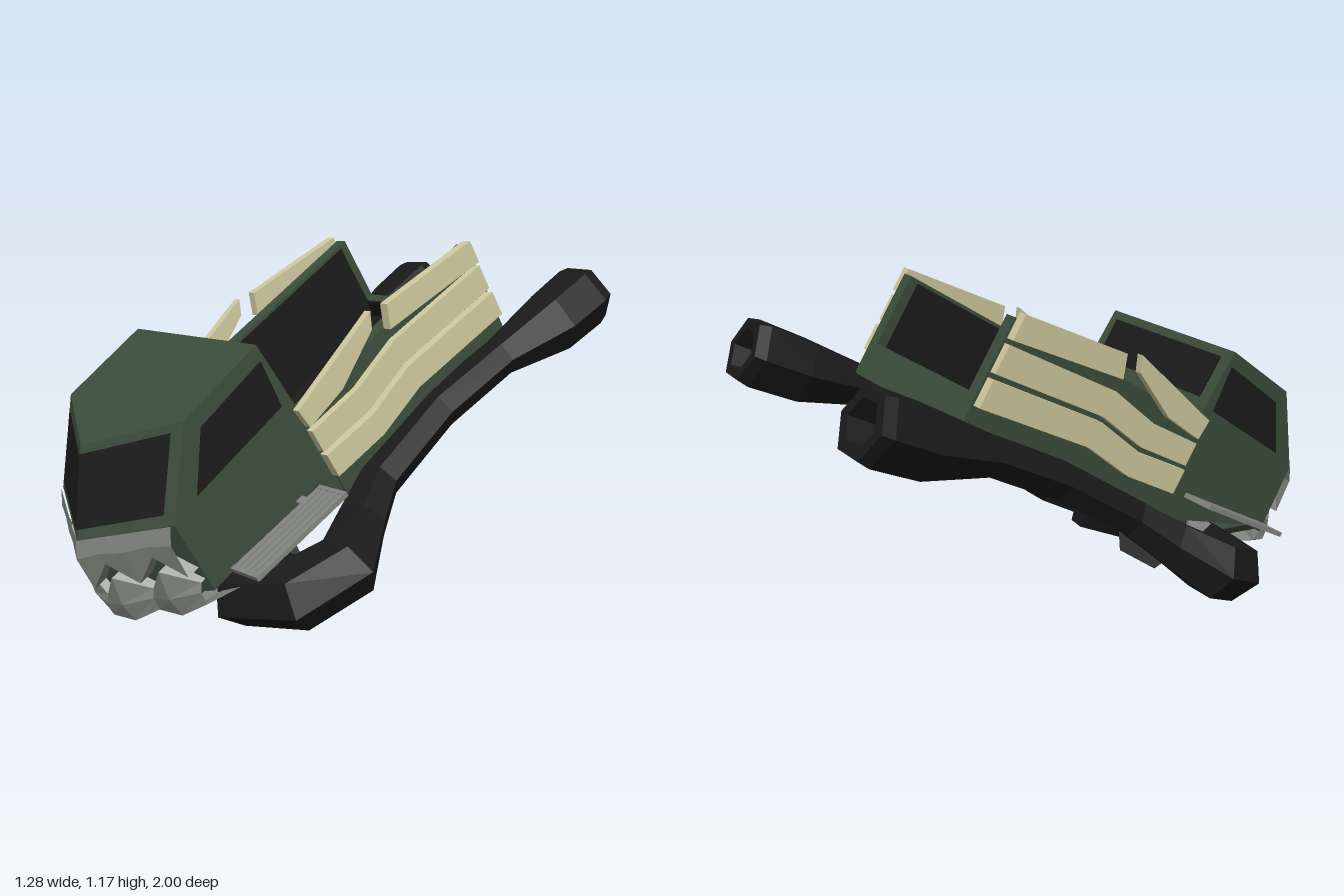
import * as THREE from 'three';

const mat = (name, color, side = THREE.FrontSide) => {
  const m = new THREE.MeshStandardMaterial({ color, flatShading: true, side });
  m.name = name;
  return m;
};
const V = (x, y, z) => new THREE.Vector3(x, y, z);

// Skin rows of points; rows advance along the part, closed rows wrap round
function loft(rows, closed = true) {
  const pos = [], n = rows[0].length;
  for (let i = 0; i < rows.length - 1; i++) {
    for (let j = 0; j < (closed ? n : n - 1); j++) {
      const k = (j + 1) % n;
      const a = rows[i][j], b = rows[i][k], c = rows[i + 1][k], d = rows[i + 1][j];
      for (const p of [a, b, c, a, c, d]) pos.push(p.x, p.y, p.z);
    }
  }
  const g = new THREE.BufferGeometry();
  g.setAttribute('position', new THREE.Float32BufferAttribute(pos, 3));
  g.computeVertexNormals();
  return g;
}

export function createModel() {
  const green = mat('bodyGreen', 0x3c4e3b);
  const dark = mat('darkGlass', 0x1b1b1b, THREE.DoubleSide);
  const black = mat('legBlack', 0x1a1a1a, THREE.DoubleSide);
  const cream = mat('plankCream', 0xd0ca9e);
  const grey = mat('metalGrey', 0x82867f, THREE.DoubleSide);

  const model = new THREE.Group();
  const truck = new THREE.Group();
  truck.name = 'truck';
  model.add(truck);

  const add = (name, geo, material) => {
    const m = new THREE.Mesh(geo, material);
    m.name = name;
    truck.add(m);
    return m;
  };
  const box = (name, x0, x1, y0, y1, z0, z1, m) =>
    add(name, new THREE.BoxGeometry(x1 - x0, y1 - y0, z1 - z0), m)
      .position.set((x0 + x1) / 2, (y0 + y1) / 2, (z0 + z1) / 2);
  // Side profile in (z, y), extruded across x
  const slab = (name, pts, x0, x1, m) => {
    const s = new THREE.Shape(pts.map(([z, y]) => new THREE.Vector2(-z, y)));
    const g = new THREE.ExtrudeGeometry(s, { depth: x1 - x0, bevelEnabled: false });
    add(name, g.rotateY(Math.PI / 2).translate(x0, 0, 0), m);
  };

  // Cab with a pointed nose and a roof rising to the rear
  const W = 0.33;
  const ring = (y, zp, zc, zr, w = W, yr = y) =>
    [V(0, y, zp), V(w, y, zc), V(w, yr, zr), V(-w, yr, zr), V(-w, y, zc)];
  const point = (y, z) => Array(5).fill(V(0, y, z));
  add('cab', loft([point(0.53, 0.3), ring(0.53, 0.695, 0.55, 0), ring(0.79, 0.702, 0.54, 0),
    ring(1.018, 0.52, 0.338, 0.012, W, 1.037), point(1.026, 0.22)]), green);
  add('frontApron', loft([point(0.41, 0.53), ring(0.41, 0.56, 0.55, 0.5, 0.1),
    ring(0.54, 0.69, 0.55, 0.5, 0.32), point(0.54, 0.53)]), green);
  slab('cabUnderside', [[0, 0.4], [0.04, 0.415], [0.5, 0.54], [0, 0.56]], -W, W, green);

  // Split windshield
  const { lerp } = THREE.MathUtils;
  const pane = (s, u, v) => V(s * W * u, lerp(0.79, 1.018, v),
    lerp(lerp(0.702, 0.52, v), lerp(0.54, 0.338, v), u) + 0.007);
  const row = (v) => [pane(-1, 0.9, v), pane(1, 0, v), pane(1, 0.9, v)];
  add('windshield', loft([row(0.13), row(0.92)], false), dark);

  // Side and rear windows
  for (const s of [-1, 1]) {
    slab('sideWindow', [[0.045, 0.825], [0.03, 0.987], [0.305, 0.965], [0.43, 0.81]],
      s > 0 ? W : -W - 0.006, s > 0 ? W + 0.006 : -W, dark);
  }
  box('rearWindow', -0.285, 0.285, 0.85, 1.005, 0.0, 0.008, dark);

  // Jagged grille jaws following the nose
  const at = (k, y, off) => {
    const t = Math.abs(k) / 4;
    return V(k * 0.081, y, 0.702 - 0.155 * t + off);
  };
  const jaw = (name, rows) => {
    const pts = rows.map(([even, odd, offEven, offOdd]) => {
      const r = [];
      for (let k = -4; k <= 4; k++) r.push(k % 2 ? at(k, odd, offOdd) : at(k, even, offEven));
      return r;
    });
    add(name, loft(pts, false), grey);
  };
  jaw('upperJaw', [[0.625, 0.712, -0.01, -0.01], [0.625, 0.712, 0.045, 0.035],
    [0.745, 0.75, 0.035, 0.03], [0.793, 0.793, 0.003, 0.003]]);
  jaw('lowerJaw', [[0.455, 0.445, -0.1, -0.1], [0.51, 0.49, 0.045, 0.062],
    [0.555, 0.565, 0.04, 0.068], [0.58, 0.66, 0.022, 0.045], [0.58, 0.66, -0.01, -0.01]]);

  // Cargo bed
  const R = -0.88, H = 0.77;
  box('bedFloor', -0.335, 0.335, 0.4, 0.44, R, 0, green);
  box('bedFloorLiner', -0.29, 0.29, 0.44, 0.447, R + 0.035, -0.005, dark);
  box('bedFrontLiner', -0.29, 0.29, 0.44, H, -0.012, -0.004, dark);
  box('tailLip', -0.335, 0.335, 0.44, 0.52, R, R + 0.035, green);
  box('tailLipLiner', -0.29, 0.29, 0.44, 0.515, R + 0.035, R + 0.041, dark);
  for (const s of [-1, 1]) {
    const span = (a, b) => (s > 0 ? [a, b] : [-b, -a]);
    box('bedSide', ...span(0.29, 0.335), 0.42, H, R, 0, green);
    box('bedSideLiner', ...span(0.283, 0.29), 0.44, H - 0.012, R + 0.035, -0.005, dark);

    // Crooked planks on the outside, the top one broken in two
    const planks = [
      [[0.018, 0.788], [-0.386, 0.863], [-0.36, 0.81], [-0.16, 0.73], [0.01, 0.715]],
      [[-0.452, 0.842], [-0.873, 0.79], [-0.873, 0.705], [-0.42, 0.765]],
      [[0.012, 0.7], [-0.21, 0.69], [-0.42, 0.722], [-0.872, 0.69], [-0.872, 0.595], [-0.42, 0.632], [-0.21, 0.602], [0.012, 0.616]],
      [[0.012, 0.602], [-0.21, 0.584], [-0.42, 0.615], [-0.872, 0.578], [-0.872, 0.485], [-0.42, 0.525], [-0.21, 0.498], [0.012, 0.513]],
    ];
    planks.forEach((p, i) => slab('plank', p, ...span(0.335, 0.362 + 0.006 * (i % 2)), cream));

    // Slatted side step with end bars, rising slightly to the front
    const sloped = (lo, hi, z0 = 0.08, z1 = 0.48) => {
      const y = (z) => 0.515 + 0.0625 * z;
      return [[z0, y(z0) + lo], [z1, y(z1) + lo], [z1, y(z1) + hi], [z0, y(z0) + hi]];
    };
    slab('stepPlate', sloped(0, 0.006), ...span(0.355, 0.482), grey);
    for (let i = 0; i < 5; i++) {
      const x = 0.355 + i * 0.0265;
      slab('stepSlat', sloped(0.006, 0.016), ...span(x, x + 0.021), grey);
    }
    for (const z of [0.08, 0.465]) slab('stepEnd', sloped(0.006, 0.017, z, z + 0.015), ...span(0.355, 0.482), grey);
    for (const z of [0.14, 0.4]) box('stepBracket', ...span(0.32, 0.36), 0.53, 0.54, z, z + 0.03, grey);

    // Leg curling out from under the cab and trailing back to a hollow foot
    const path = [
      [0.19, 0.37, 0.18, 0.145], [0.11, 0.385, 0.34, 0.12], [0.24, 0.377, 0.44, 0.115], [0.43, 0.366, 0.375, 0.115],
      [0.495, 0.35, 0.21, 0.11], [0.42, 0.365, 0.05, 0.085], [0.365, 0.385, -0.115, 0.07], [0.35, 0.395, -0.457, 0.07],
      [0.38, 0.375, -0.77, 0.068], [0.405, 0.33, -1.03, 0.115], [0.415, 0.315, -1.2, 0.12], [0.417, 0.312, -1.24, 0.11],
    ].map(([x, y, z, r]) => ({ p: V(s * x, y, z), r }));
    const rings = path.map(({ p, r }, i) => {
      const t = path[Math.min(i + 1, path.length - 1)].p.clone().sub(path[Math.max(i - 1, 0)].p).normalize();
      const side = V(0, 1, 0).cross(t).normalize();
      const up = t.clone().cross(side);
      return (radius = r, shift = 0) => Array.from({ length: 6 }, (_, j) => {
        const a = (j / 6) * Math.PI * 2;
        return p.clone().addScaledVector(side, Math.cos(a) * radius)
          .addScaledVector(up, Math.sin(a) * radius).addScaledVector(t, shift);
      });
    });
    const end = rings[rings.length - 1];
    add(s > 0 ? 'leftLeg' : 'rightLeg', loft([rings[0](0), ...rings.map((f) => f()),
      end(0.075), end(0.06, -0.1), end(0, -0.1)]), black);
  }

  // Nose-down pose
  const basis = new THREE.Matrix4().makeBasis(
    V(0.992, 0.12, -0.056).normalize(), V(-0.08, 0.8755, 0.478).normalize(), V(0.106, -0.47, 0.877).normalize());
  truck.quaternion.setFromRotationMatrix(basis);
  truck.position.set(0.05, 0.01, -0.001);
  return model;
}
